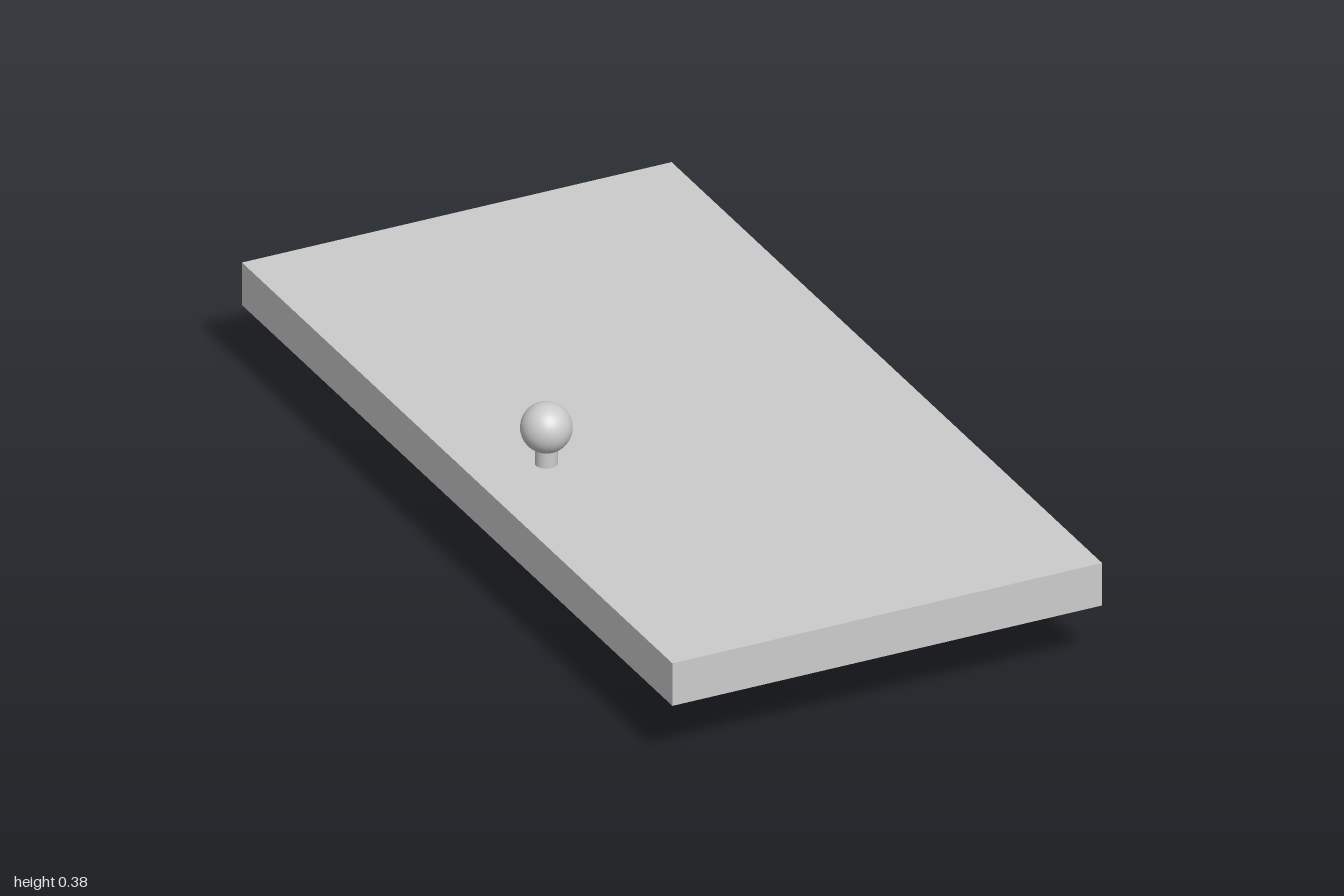
import * as THREE from 'three';

const MID_Y = 0.19; // centre height of the slab

export function createModel() {
  const model = new THREE.Group();
  const material = new THREE.MeshStandardMaterial({ color: 0xcccccc });

  const add = (parent, name, geometry, y) => {
    const mesh = new THREE.Mesh(geometry, material);
    mesh.name = name;
    mesh.position.y = y;
    parent.add(mesh);
  };

  // Door panel lying flat
  add(model, 'doorPanel', new THREE.BoxGeometry(1, 0.1, 2), MID_Y);

  // Spindle through the panel with a round knob at each end
  const handle = new THREE.Group();
  handle.name = 'doorHandle';
  handle.position.set(-0.335, MID_Y, 0.085);
  add(handle, 'spindle', new THREE.CylinderGeometry(0.024, 0.024, 0.2, 32), 0);
  for (const [name, side] of [['upperKnob', 1], ['lowerKnob', -1]]) {
    add(handle, name, new THREE.SphereGeometry(0.055, 32, 24), side * 0.135);
  }
  model.add(handle);

  return model;
}
